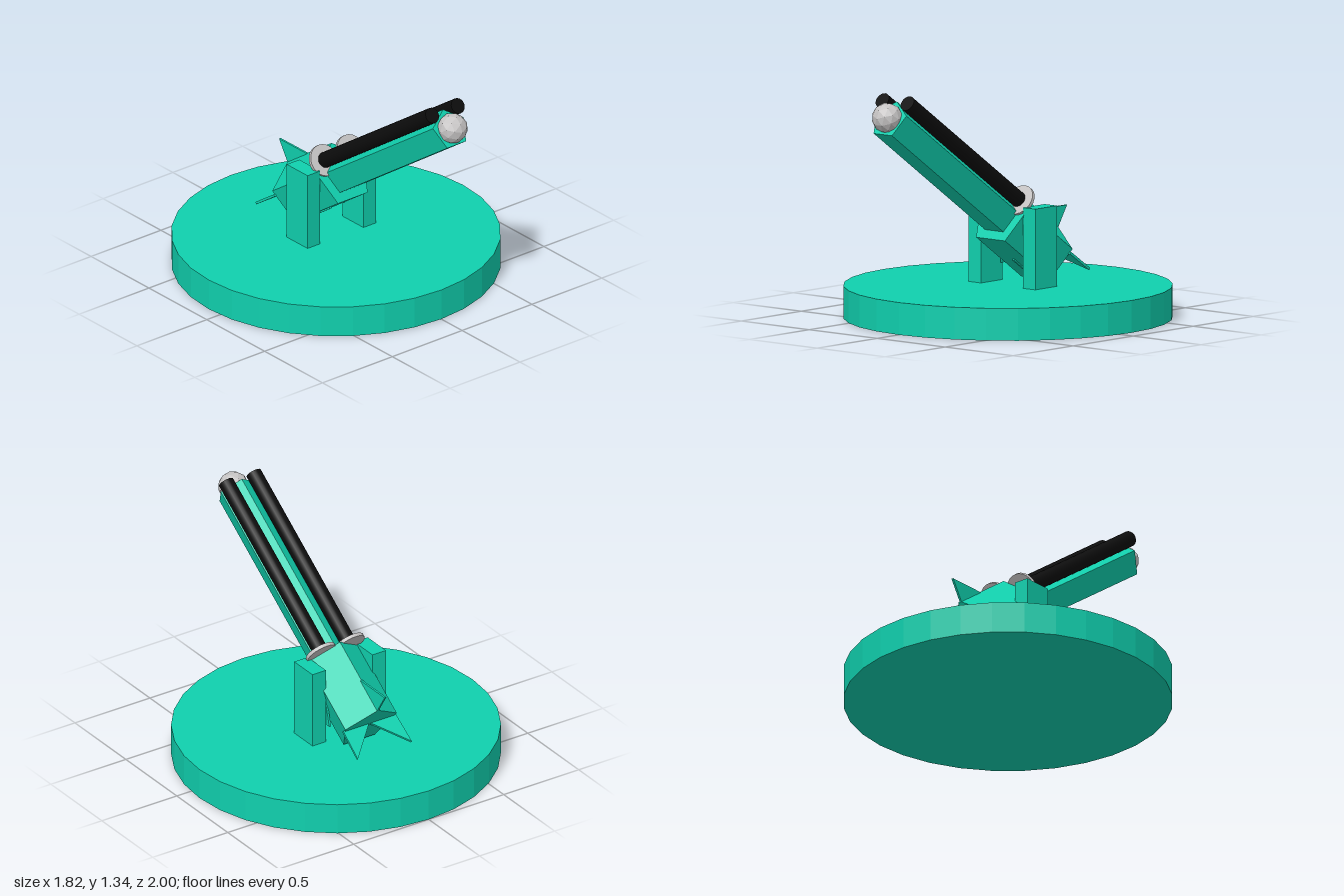
import * as THREE from 'three';

const teal = new THREE.MeshStandardMaterial({ color: 0x10d0ae, flatShading: true });
teal.name = 'teal';
const black = new THREE.MeshStandardMaterial({ color: 0x0c0c0c });
black.name = 'black';
const silver = new THREE.MeshStandardMaterial({ color: 0xc6c4c4, flatShading: true });
silver.name = 'silver';

function add(parent, name, geometry, material, x = 0, y = 0, z = 0) {
  const mesh = new THREE.Mesh(geometry, material);
  mesh.name = name;
  mesh.position.set(x, y, z);
  parent.add(mesh);
  return mesh;
}

// Cylinder or prism lying along z, with a corner pointing up
function rod(radius, length, sides) {
  return new THREE.CylinderGeometry(radius, radius, length, sides).rotateX(-Math.PI / 2);
}

// Thin flat plate from corner points, centred on its thickness
function plate(points, thickness) {
  const shape = new THREE.Shape(points.map(([x, y]) => new THREE.Vector2(x, y)));
  return new THREE.ExtrudeGeometry(shape, { depth: thickness, bevelEnabled: false })
    .translate(0, 0, -thickness / 2);
}

export function createModel() {
  const model = new THREE.Group();
  model.name = 'cannon';

  // Round base and the two uprights
  add(model, 'base', new THREE.CylinderGeometry(0.91, 0.91, 0.18, 32), teal, 0, 0.09, -0.09);
  for (const s of [-1, 1]) {
    add(model, 'upright', new THREE.BoxGeometry(0.09, 0.45, 0.18), teal, s * 0.2, 0.405, -0.13);
  }

  // Tilted gun, its local z runs along the barrel from the front of the breech
  const gun = new THREE.Group();
  gun.name = 'gun';
  gun.position.set(0, 0.57, -0.027);
  gun.rotation.x = -THREE.MathUtils.degToRad(34.5);
  model.add(gun);

  add(gun, 'breech', rod(0.18, 0.456, 5), teal, 0, 0, -0.228);
  add(gun, 'barrel', rod(0.115, 1.14, 5), teal, 0, 0, 0.555);
  add(gun, 'muzzleBall', new THREE.IcosahedronGeometry(0.086, 1), silver, 0, 0, 1.145);

  for (const s of [-1, 1]) {
    add(gun, 'tube', rod(0.044, 1.13, 20), black, s * 0.092, 0.105, 0.575);
    add(gun, 'tubeFlange', rod(0.09, 0.02, 24), silver, s * 0.095, 0.105, 0.005);
    // Rear fins, level with the barrel axis
    const rear = plate([[0, -0.45], [s * 0.175, -0.45], [s * 0.18, -0.635]], 0.014);
    add(gun, 'rearFin', rear.rotateX(Math.PI / 2), teal, 0, 0.028, 0);
    // Small fins on the lower sides
    const low = plate([[-0.2, 0.0], [-0.34, -0.12], [-0.3, -0.146]], 0.012);
    add(gun, 'lowerFin', low.rotateY(-Math.PI / 2), teal, s * 0.14, 0, 0);
  }

  // Top fin and the narrow keel below
  const top = plate([[-0.255, 0.17], [-0.255, 0.18], [-0.45, 0.313], [-0.456, 0.17]], 0.012);
  add(gun, 'topFin', top.rotateY(-Math.PI / 2), teal);
  add(gun, 'keel', new THREE.BoxGeometry(0.014, 0.02, 0.22), teal, 0, -0.143, -0.345);

  return model;
}
